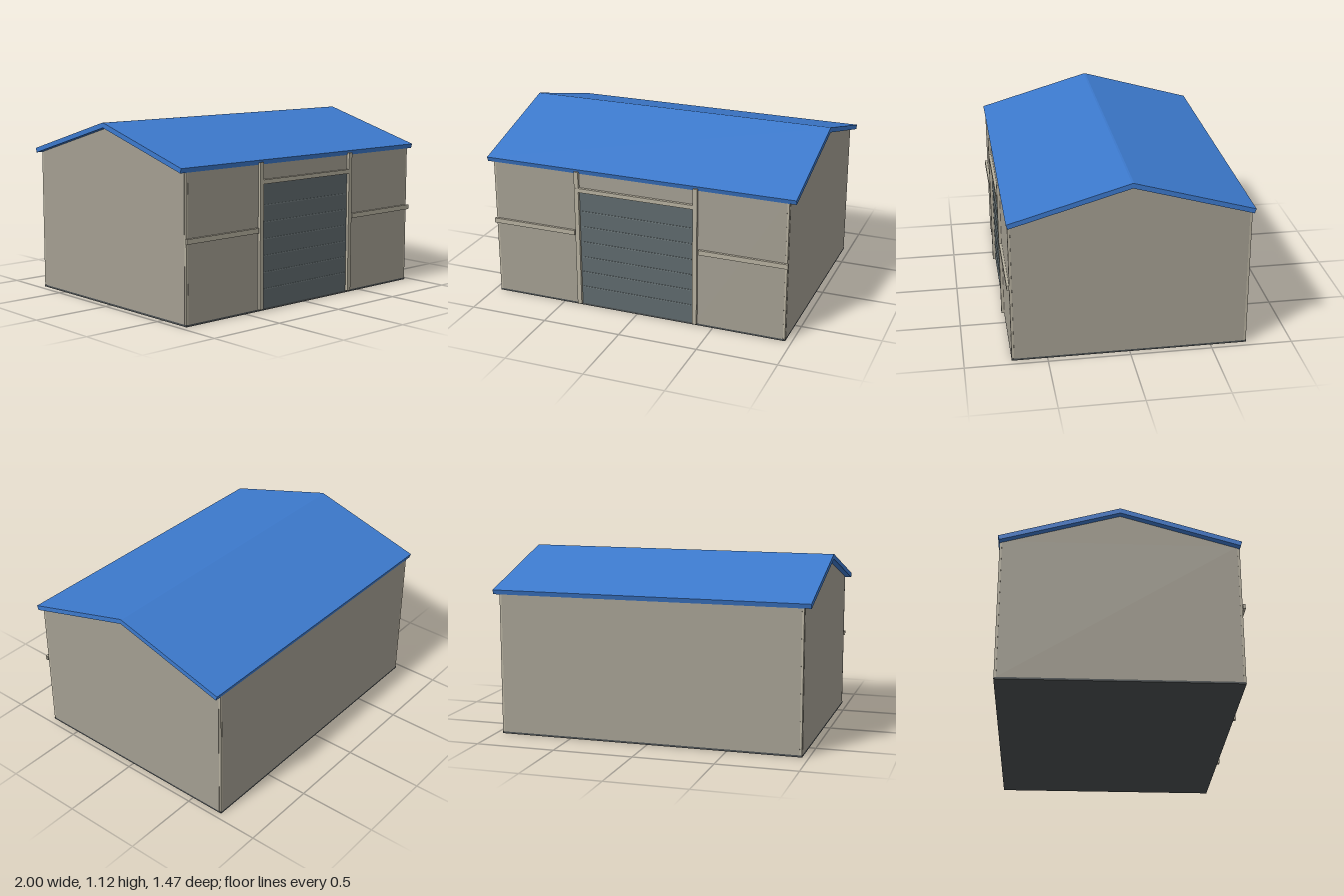
import * as THREE from 'three';

const material = (color) => new THREE.MeshStandardMaterial({ color, flatShading: true });

export function createModel() {
  const model = new THREE.Group();
  model.name = 'shed';
  const wall = material(0xa39e91);
  const trim = material(0xb5af9e);
  const doorGrey = material(0x5e696c);
  const ribGrey = material(0x727d80);
  const roofBlue = material(0x3c79cc);
  const floorGrey = material(0x494e50);

  const zc = -0.004; // the building sits slightly behind the front frame
  const base = 0.012, eave = 0.9;

  // Box given by its minimum and maximum on each axis
  function box(name, mat, [x0, x1], [y0, y1], [z0, z1]) {
    const mesh = new THREE.Mesh(new THREE.BoxGeometry(x1 - x0, y1 - y0, z1 - z0), mat);
    mesh.position.set((x0 + x1) / 2, (y0 + y1) / 2, (z0 + z1) / 2);
    mesh.name = name;
    model.add(mesh);
  }

  // Profile of [z, y] points extruded along x from x0 to x1
  function extrudeAlongX(name, mat, points, x0, x1) {
    const shape = new THREE.Shape(points.map(([z, y]) => new THREE.Vector2(-z, y)));
    const geometry = new THREE.ExtrudeGeometry(shape, { depth: x1 - x0, bevelEnabled: false });
    geometry.rotateY(Math.PI / 2).translate(x0, 0, zc);
    const mesh = new THREE.Mesh(geometry, mat);
    mesh.name = name;
    model.add(mesh);
  }

  // Floor
  box('floor', floorGrey, [-0.96, 0.96], [0, base], [zc - 0.719, zc + 0.719]);

  // Back wall, and the front wall above the door
  box('backWall', wall, [-0.945, 0.945], [base, eave], [zc - 0.719, zc - 0.704]);
  box('frontWallAboveDoor', wall, [-0.385, 0.385], [0.78, eave], [zc + 0.704, zc + 0.719]);

  for (const [side, s] of [['left', 1], ['right', -1]]) {
    const span = (a, b) => (s > 0 ? [a, b] : [-b, -a]);
    box(side + 'Wall', wall, span(0.945, 0.96), [base, eave], [zc - 0.704, zc + 0.704]);
    box(side + 'FrontWall', wall, span(0.385, 0.945), [base, eave], [zc + 0.704, zc + 0.719]);

    // Gable over the side wall
    extrudeAlongX(side + 'Gable', wall, [[0.704, eave], [0, 1.092], [-0.704, eave]], ...span(0.945, 0.96));

    // Corner posts
    for (const [end, z] of [['Front', 0.7115], ['Back', -0.7115]]) {
      box(side + end + 'CornerPost', trim, span(0.945, 0.958), [base, eave - 0.004], [zc + z - 0.007, zc + z + 0.007]);
    }

    // Door post and girt rail
    box(side + 'DoorPost', trim, span(0.372, 0.4), [base, eave], [0.7, 0.733]);
    box(side + 'Rail', trim, span(0.408, 0.966), [0.48, 0.51], [0.715, 0.731]);
  }

  // Door header
  box('doorHeader', trim, [-0.4, 0.4], [0.77, 0.796], [0.702, 0.7335]);

  // Door with horizontal ribs
  box('door', doorGrey, [-0.372, 0.372], [base, 0.772], [0.7, 0.715]);
  for (let i = 0; i < 6; i++) {
    const y = 0.13 + i * 0.102;
    box('doorRib', ribGrey, [-0.36, 0.36], [y - 0.003, y + 0.003], [0.714, 0.718]);
  }

  // Pitched roof with square-cut eaves and a narrow flat ridge
  extrudeAlongX('roof', roofBlue, [
    [0.006, 1.122], [0.728, 0.914], [0.719, 0.886], [0, 1.092],
    [-0.719, 0.886], [-0.728, 0.914], [-0.006, 1.122],
  ], -1, 1);

  return model;
}
